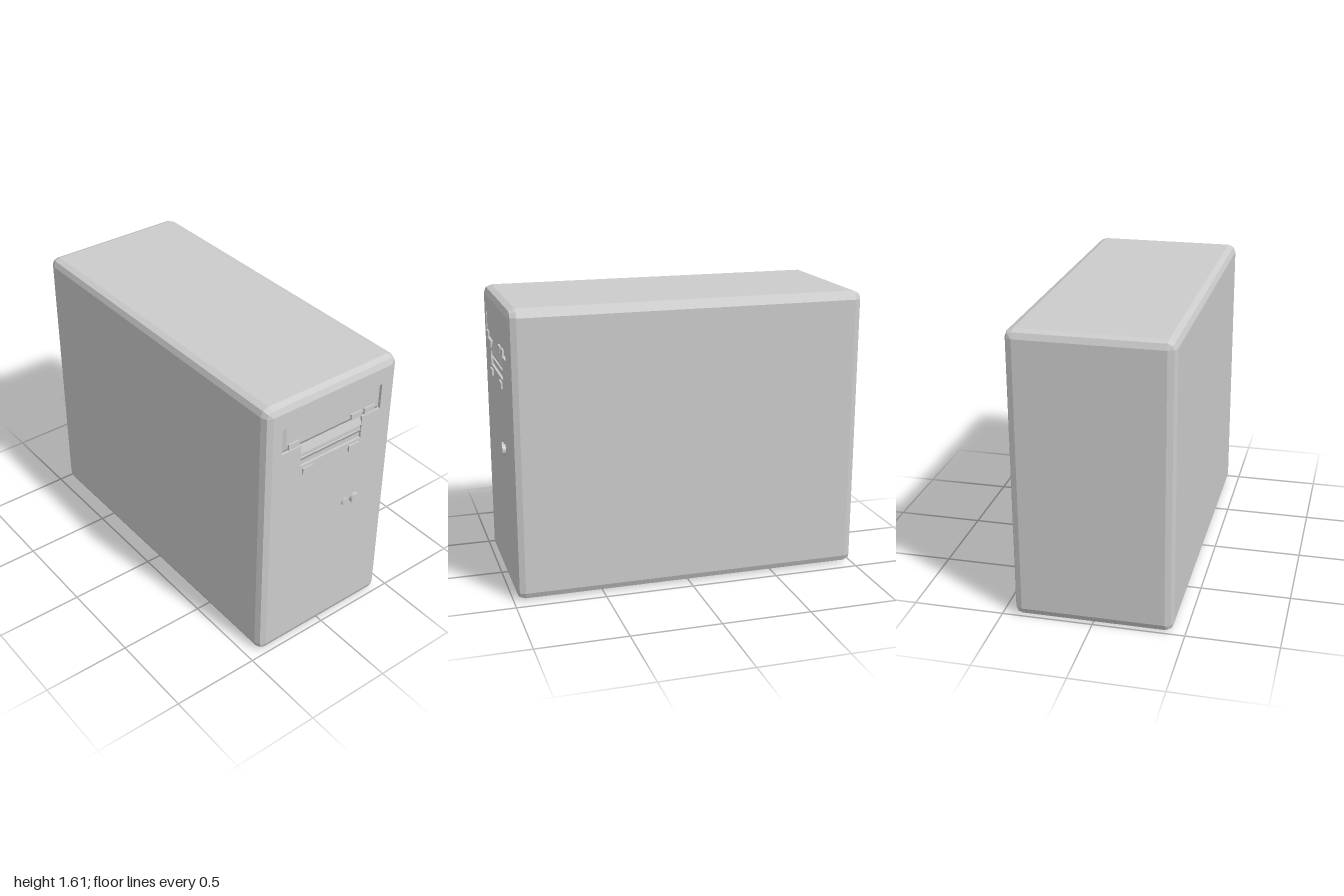
import * as THREE from 'three';

const BACK = -1, FRONT = 0.98, H = 1.61, HALF_D = 0.435, R = 0.045;
const mat = new THREE.MeshStandardMaterial({ color: 0xcccccc, flatShading: true });
const smooth = new THREE.MeshStandardMaterial({ color: 0xcccccc });

function add(group, name, geometry, x = 0, y = 0, z = 0, material = mat) {
  const mesh = new THREE.Mesh(geometry, material);
  mesh.name = name;
  mesh.position.set(x, y, z);
  group.add(mesh);
  return mesh;
}

function facets(points, index) {
  const g = new THREE.BufferGeometry();
  g.setAttribute('position', new THREE.Float32BufferAttribute(points.flat(), 3));
  g.setIndex(index);
  const flat = g.toNonIndexed();
  flat.computeVertexNormals();
  return flat;
}

// Case shell: rounded-rectangle rings along x, closed at the back, open at the front
function shellGeometry() {
  const points = [], index = [], N = 12;
  const ring = (x, r) => {
    for (let c = 0; c < 4; c++) {
      for (let s = 0; s < 3; s++) {
        const a = (c + s / 2) * Math.PI / 2;
        const sy = c < 2 ? 1 : -1, sz = c === 0 || c === 3 ? 1 : -1;
        points.push([x, H / 2 + sy * (H / 2 - R) + r * Math.sin(a),
          sz * (HALF_D - R) + r * Math.cos(a)]);
      }
    }
  };
  for (let i = 0; i < 3; i++) {
    const a = i * Math.PI / 4;
    ring(BACK + R * (1 - Math.sin(a)), R * (i === 0 ? 0 : 1 - Math.cos(a)));
  }
  // replace the bevel rings with a true quarter-round at both ends
  points.length = 0;
  for (let i = 0; i < 3; i++) {
    const a = i * Math.PI / 4;
    ring(BACK + R * (1 - Math.cos(a)), R * Math.sin(a));
  }
  for (let i = 2; i >= 0; i--) {
    const a = i * Math.PI / 4;
    ring(FRONT - R * (1 - Math.cos(a)), R * Math.sin(a));
  }
  for (let k = 0; k < 5; k++) {
    for (let j = 0; j < N; j++) {
      const a = k * N + j, b = k * N + (j + 1) % N;
      index.push(a, a + N, b, b, a + N, b + N);
    }
  }
  index.push(0, 3, 6, 0, 6, 9);
  return facets(points, index);
}

// Front panel with one T-shaped opening for both drives
function frontPanelGeometry() {
  const z = HALF_D - R;
  const rect = [[-z, R], [z, R], [z, H - R], [-z, H - R]];
  const opening = [[-0.33, 1.47], [0.33, 1.47], [0.33, 1.32], [0.205, 1.32],
    [0.205, 1.19], [-0.205, 1.19], [-0.205, 1.32], [-0.33, 1.32]];
  const toVec = (p) => new THREE.Vector2(...p);
  const shape = new THREE.Shape(rect.map(toVec));
  shape.holes.push(new THREE.Path(opening.map(toVec)));
  const g = new THREE.ExtrudeGeometry(shape, { depth: 0.025, bevelEnabled: false });
  return g.rotateY(Math.PI / 2);
}

// Disc drive cover: flush in the middle, sloping into a groove at sides and bottom
function discCoverGeometry() {
  const deep = FRONT - 0.015;
  const points = [
    [deep, 1.47, 0.33], [deep, 1.32, 0.33], [deep, 1.32, -0.33], [deep, 1.47, -0.33],
    [FRONT, 1.47, 0.304], [FRONT, 1.345, 0.304], [FRONT, 1.345, -0.304], [FRONT, 1.47, -0.304],
  ];
  const index = [4, 5, 6, 4, 6, 7];
  for (let i = 0; i < 3; i++) index.push(i, i + 1, i + 4, i + 4, i + 1, i + 5);
  return facets(points, index);
}

// Floppy drive: stepped profile swept across the opening
function floppyGeometry() {
  const profile = [[0.945, 1.19], [0.967, 1.19], [0.967, 1.215], [0.98, 1.24],
    [0.971, 1.24], [0.971, 1.27], [0.98, 1.27], [0.965, 1.32], [0.945, 1.32]];
  const shape = new THREE.Shape(profile.map((p) => new THREE.Vector2(...p)));
  const g = new THREE.ExtrudeGeometry(shape, { depth: 0.41, bevelEnabled: false });
  return g.translate(0, 0, -0.205);
}

export function createModel() {
  const model = new THREE.Group();
  model.name = 'computerTower';

  add(model, 'caseShell', shellGeometry());
  add(model, 'frontPanel', frontPanelGeometry(), FRONT - 0.025);
  add(model, 'discDriveCover', discCoverGeometry());
  add(model, 'floppyDrive', floppyGeometry());

  // Drive buttons and lights
  const buttons = [
    ['discLight', 1.355, 0.26], ['discPlayButton', 1.355, -0.155],
    ['discEjectButton', 1.355, -0.245],
    ['floppyLight', 1.157, 0.157], ['floppyEjectButton', 1.157, -0.155],
  ];
  for (const [name, y, z] of buttons) {
    add(model, name, new THREE.BoxGeometry(0.03, 0.034, 0.07), FRONT - 0.005, y, z);
  }

  // Round power and reset buttons
  for (const [name, r, tip, z] of [['resetButton', 0.023, 0.99, -0.128], ['powerButton', 0.03, 1, -0.192]]) {
    const g = new THREE.CylinderGeometry(r, r, 0.04, 32).rotateZ(-Math.PI / 2);
    add(model, name, g, tip - 0.02, 0.8, z, smooth);
  }
  return model;
}
